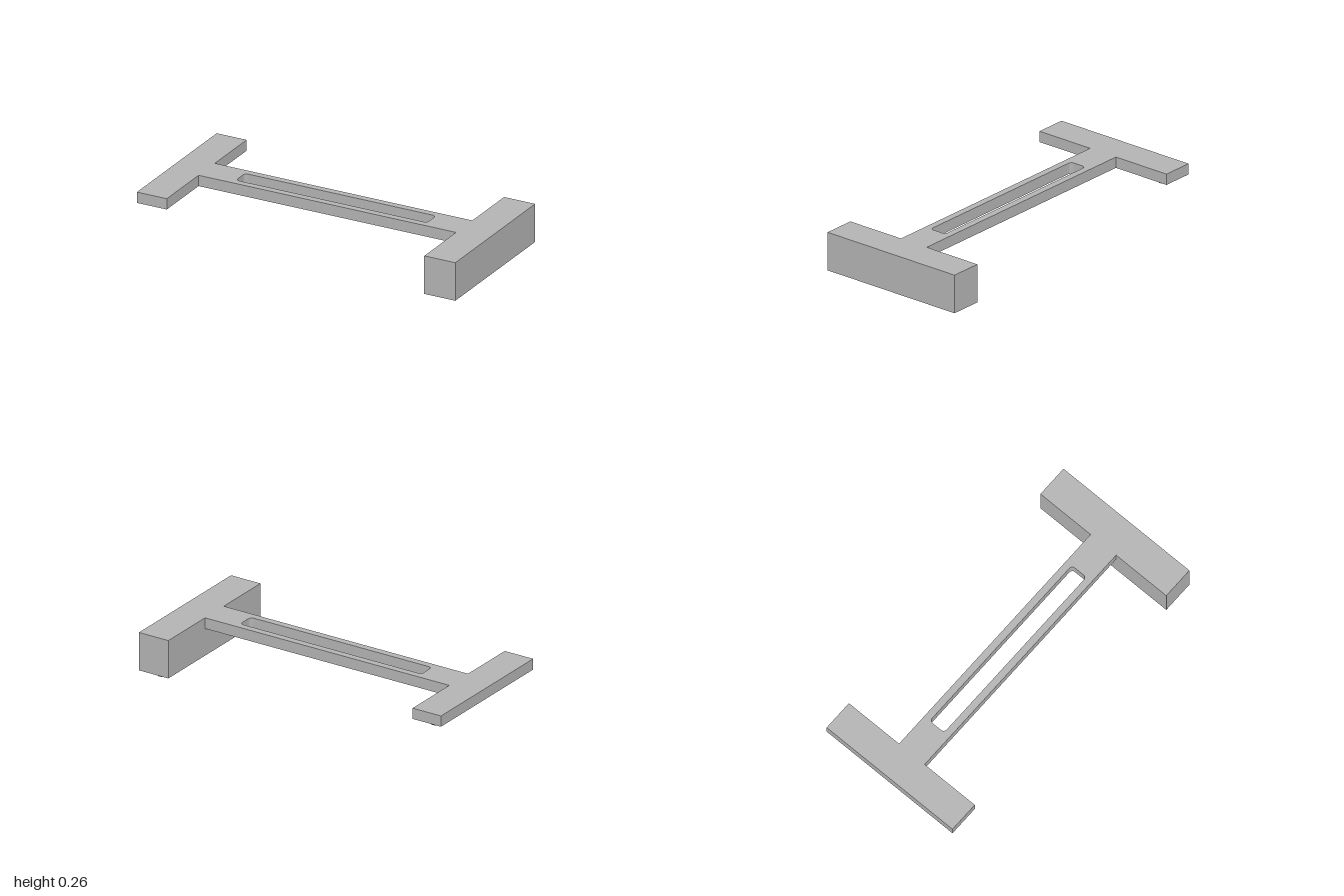
import * as THREE from 'three';

export function createModel() {
  const model = new THREE.Group();
  const grey = new THREE.MeshStandardMaterial({ color: 0xb3b3b3 });
  grey.name = 'plain grey';

  const top = 0.265, plateBottom = 0.2, blockBottom = 0.036;
  const halfDepth = 0.457, halfBar = 0.093;
  const leftInner = 0.805, rightInner = -0.812;

  const add = (name, geometry, x = 0, y = 0, z = 0) => {
    const mesh = new THREE.Mesh(geometry, grey);
    mesh.name = name;
    mesh.position.set(x, y, z);
    model.add(mesh);
    return mesh;
  };

  // Extrudes an x/z outline into a flat slab between two heights
  const slab = (shape, low, high) =>
    new THREE.ExtrudeGeometry(shape, { depth: high - low, bevelEnabled: false, curveSegments: 6 })
      .rotateX(-Math.PI / 2).translate(0, low, 0);

  // H-shaped plate: two crosspieces joined by a bar
  const plate = new THREE.Shape([
    [-1, -halfDepth], [rightInner, -halfDepth], [rightInner, -halfBar],
    [leftInner, -halfBar], [leftInner, -halfDepth], [1, -halfDepth],
    [1, halfDepth], [leftInner, halfDepth], [leftInner, halfBar],
    [rightInner, halfBar], [rightInner, halfDepth], [-1, halfDepth],
  ].map(([x, y]) => new THREE.Vector2(x, y)));

  // Rounded slot along the bar
  const sx = 0.6, sz = 0.052, r = 0.022;
  const slot = new THREE.Path();
  slot.absarc(sx - r, sz - r, r, 0, Math.PI / 2);
  slot.absarc(-sx + r, sz - r, r, Math.PI / 2, Math.PI);
  slot.absarc(-sx + r, -sz + r, r, Math.PI, Math.PI * 1.5);
  slot.absarc(sx - r, -sz + r, r, Math.PI * 1.5, Math.PI * 2);
  slot.closePath();
  plate.holes.push(slot);
  add('slottedPlate', slab(plate, plateBottom, top));

  // Deep block under the left crosspiece
  const blockHeight = plateBottom - blockBottom;
  add('leftBlock', new THREE.BoxGeometry(1 - leftInner, blockHeight, halfDepth * 2),
    (1 + leftInner) / 2, blockBottom + blockHeight / 2, 0);

  // Round feet; the front ones are slightly shorter
  const foot = (name, x, z, low, high) =>
    add(name, new THREE.CylinderGeometry(0.035, 0.035, high - low, 32), x, (low + high) / 2, z);
  for (const [side, x, base] of [['left', 0.902, blockBottom], ['right', -0.906, plateBottom]]) {
    foot(side + 'FrontFoot', x, 0.362, base - 0.03, base);
    foot(side + 'BackFoot', x, -0.362, base - 0.036, base);
  }

  return model;
}
